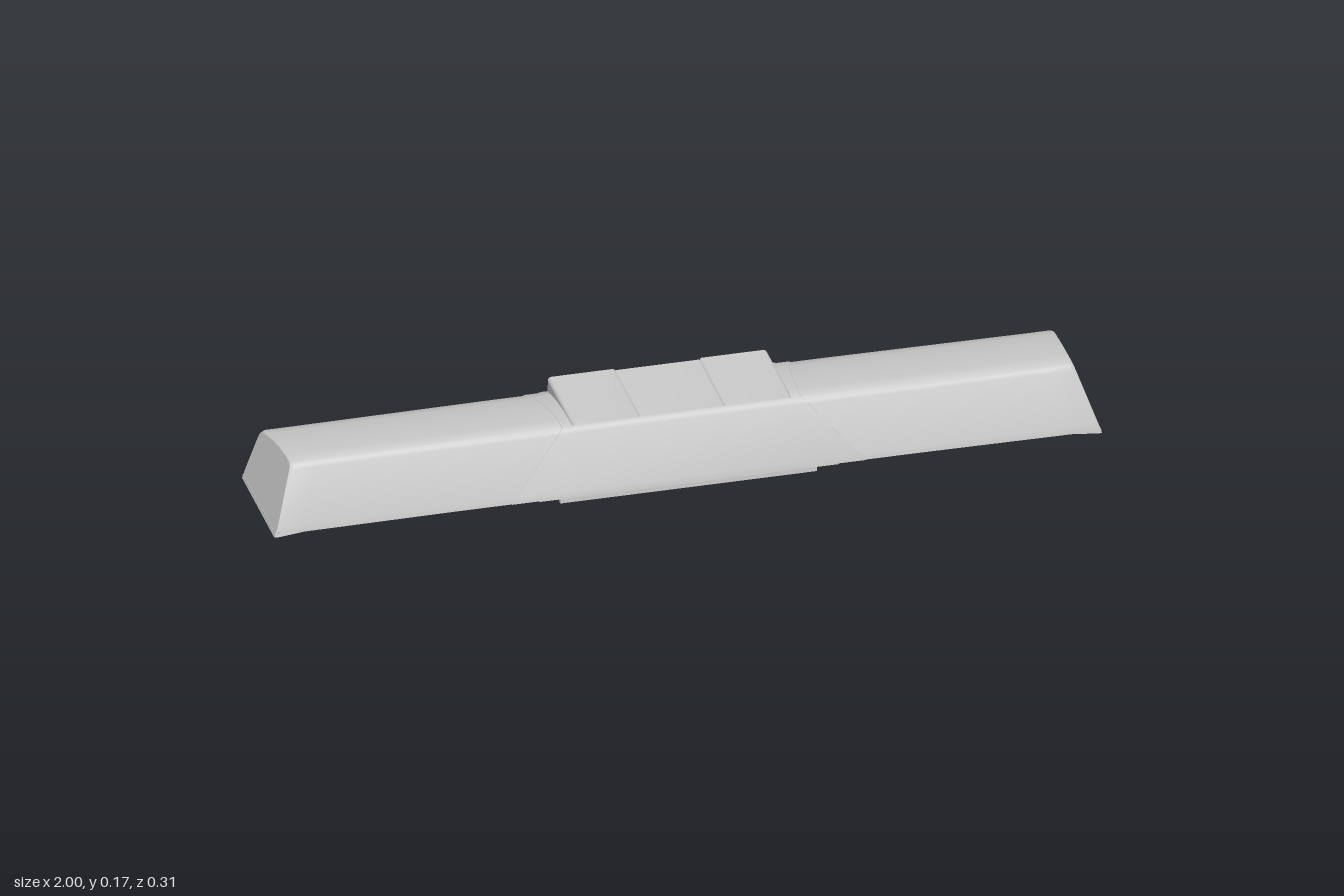
import * as THREE from 'three';
import { toCreasedNormals } from 'three/addons/utils/BufferGeometryUtils.js';

// outer cross-section as [z, y], from front bottom over the top to back bottom
const PROFILE = [
  [0.153, 0], [0.151, 0.03], [0.101, 0.15], [0.097, 0.159], [0.089, 0.164], [0.05, 0.1635],
  [0, 0.159], [-0.05, 0.152], [-0.1, 0.141], [-0.133, 0.132], [-0.141, 0.125],
  [-0.1445, 0.11], [-0.151, 0.03], [-0.152, 0],
];

// one section: grown outwards by d, with its bottom edge at yb
const section = (d, yb) => PROFILE.map(([z, y]) => [z + Math.sign(z) * d, Math.max(yb, y + (y > 0.1 ? d : 0))]);

// lofts sections along x; the ends lean inwards with height by factor k
function loft(stations, k, inward = false, capped = true) {
  const pos = [], idx = [], n = PROFILE.length;
  const tri = (a, b, c) => (inward ? idx.push(a, c, b) : idx.push(a, b, c));
  stations.forEach(([s, d, yb]) => section(d, yb).forEach(([z, y]) => pos.push(s * (1 - k * y), y, z)));
  for (let i = 0; i < stations.length - 1; i++) {
    for (let j = 0; j < n - 1; j++) {
      const a = i * n + j, b = a + n;
      tri(a, b, b + 1);
      tri(a, b + 1, a + 1);
    }
  }
  if (capped) {
    const e = (stations.length - 1) * n;
    for (let j = 1; j < n - 1; j++) {
      tri(0, j, j + 1);
      tri(e, e + j + 1, e + j);
    }
  }
  const g = new THREE.BufferGeometry();
  g.setAttribute('position', new THREE.Float32BufferAttribute(pos, 3));
  g.setIndex(idx);
  return toCreasedNormals(g, 0.6);
}

// mirrors a half list of stations (outermost first) to the other end
const mirrored = (half) => [
  ...half.map(([s, d, y]) => [-s, d, y]),
  ...half.slice().reverse(),
];

// extrudes a [z, y] outline from x0 to x1, optionally with rounded edges
function slab(points, x0, x1, bevel = 0) {
  const shape = new THREE.Shape(points.map(([z, y]) => new THREE.Vector2(-z, y)));
  const g = new THREE.ExtrudeGeometry(shape, {
    depth: x1 - x0 - 2 * bevel, bevelEnabled: bevel > 0, bevelSize: bevel,
    bevelThickness: bevel, bevelOffset: -bevel, bevelSegments: 3,
  });
  g.rotateY(Math.PI / 2);
  g.translate(x0 + bevel, 0, 0);
  return toCreasedNormals(g, 0.6);
}

export function createModel() {
  const group = new THREE.Group();
  const grey = new THREE.MeshStandardMaterial({ color: 0xcccccc, side: THREE.DoubleSide });
  grey.name = 'light grey';
  const add = (name, geometry, x = 0, y = 0, z = 0) => {
    const mesh = new THREE.Mesh(geometry, grey);
    mesh.name = name;
    mesh.position.set(x, y, z);
    group.add(mesh);
    return mesh;
  };
  const box = (name, w, h, d, x, y, z) => add(name, new THREE.BoxGeometry(w, h, d), x, y, z);

  // hollow cover with sloping ends
  add('outerShell', loft(mirrored([
    [1, -0.003, 0.003], [0.993, 0, 0.004], [0.93, 0, 0.011], [0.43, 0.002, 0.015],
  ]), 0.34));
  add('innerShell', loft(mirrored([
    [0.985, -0.01, 0.004], [0.93, -0.01, 0.011], [0.43, -0.01, 0.015],
  ]), 0.34, true));

  // flat rim under the walls
  for (const s of [-1, 1]) {
    box('endRim', 0.014, 0.008, 0.3, s * 0.99, 0.008, 0);
    for (const f of [-1, 1]) box('longRim', 0.56, 0.005, 0.011, s * 0.71, 0.015, f * 0.1465);
  }

  // stepped saddle around the middle
  add('saddleBand', loft(mirrored([[0.44, 0.0035, 0.014]]), 2.05));
  add('saddle', loft(mirrored([[0.37, 0.005, 0.013]]), 1.7, false, false));
  for (const f of [-1, 1]) {
    box('skirt', 0.62, 0.026, 0.011, 0, 0.013, f * 0.149);
  }

  // raised top pad: two end panels and a lower middle panel
  const pad = (top) => [[0.105, 0.135], [0.092, top], [-0.138, top], [-0.146, 0.12], [0, 0.12]];
  add('leftPad', slab(pad(0.174), 0.1, 0.265, 0.008));
  add('rightPad', slab(pad(0.174), -0.265, -0.1, 0.008));
  add('middlePad', slab(pad(0.17), -0.104, 0.104, 0.004));

  // cross ribs inside the middle
  const ribOutline = section(-0.009, 0);
  for (const s of [-1, 1]) {
    for (const x of [0.12, 0.165, 0.21, 0.255, 0.305]) {
      add('rib', slab(ribOutline, s * x - 0.004, s * x + 0.004));
    }
    box('divider', 0.01, 0.03, 0.29, s * 0.425, 0.03, 0);
  }
  return group;
}
